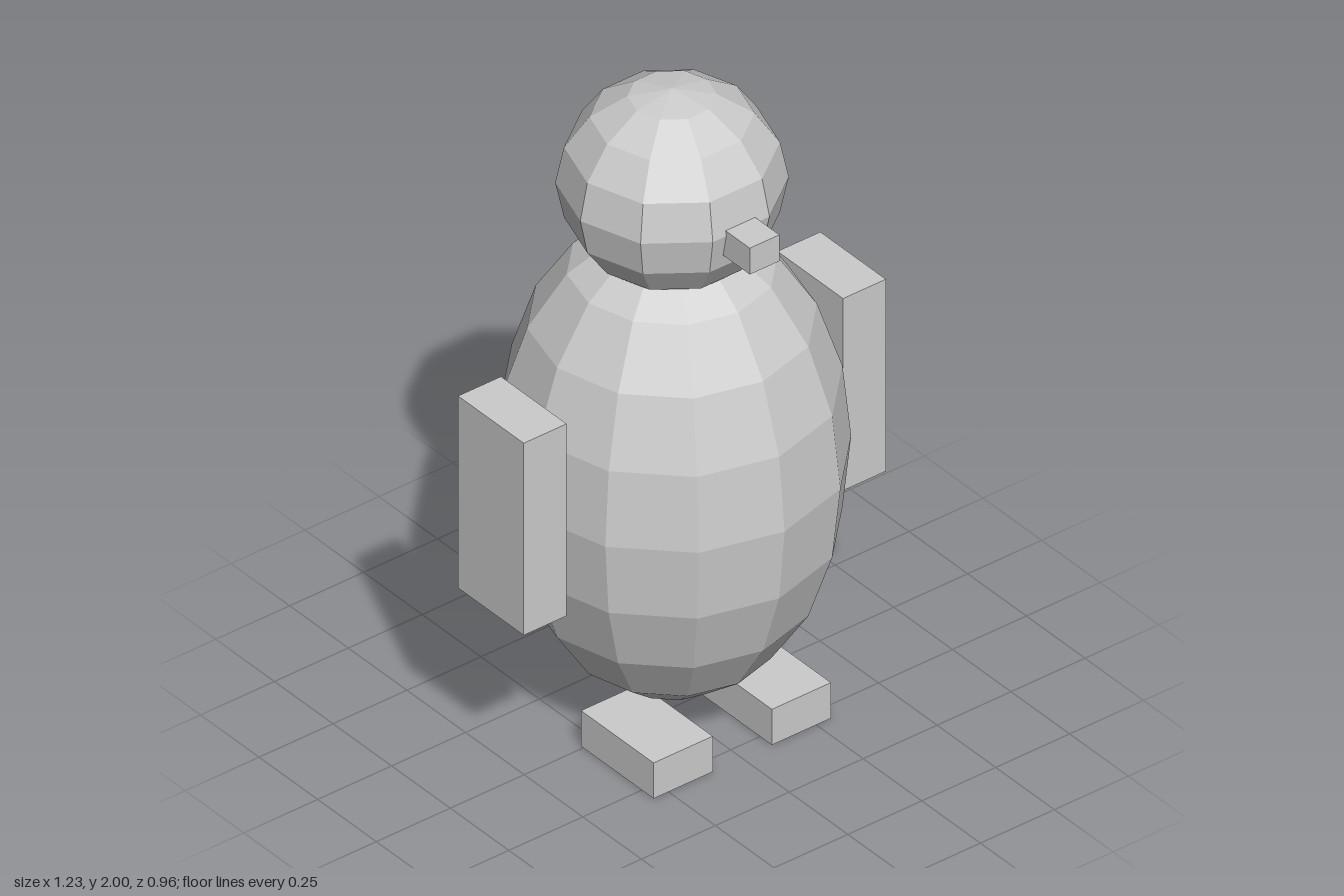
import * as THREE from 'three';

const material = new THREE.MeshStandardMaterial({ color: 0xcccccc, flatShading: true });

// Faceted ellipsoid centred on the vertical axis
function ellipsoid(name, radius, halfHeight, y, sides, rings) {
  const geometry = new THREE.SphereGeometry(radius, sides, rings);
  geometry.scale(1, halfHeight / radius, 1);
  const mesh = new THREE.Mesh(geometry, material);
  mesh.name = name;
  mesh.position.y = y;
  return mesh;
}

// Box given by its size and centre
function box(name, size, centre) {
  const mesh = new THREE.Mesh(new THREE.BoxGeometry(...size), material);
  mesh.name = name;
  mesh.position.set(...centre);
  return mesh;
}

export function createModel() {
  const model = new THREE.Group();
  model.name = 'penguin';

  // Egg-shaped body and round head
  model.add(ellipsoid('body', 0.48, 0.74, 0.83, 12, 10));
  model.add(ellipsoid('head', 0.31, 0.295, 1.705, 10, 8));

  // Beak, sunk into the head
  model.add(box('beak', [0.1, 0.085, 0.2], [0, 1.678, 0.295]));

  // Mirrored wings and feet
  for (const [side, s] of [['left', 1], ['right', -1]]) {
    model.add(box(side + 'Wing', [0.145, 0.62, 0.28], [s * 0.54, 0.885, 0]));
    model.add(box(side + 'Foot', [0.2, 0.115, 0.31], [s * 0.2, 0.0575, 0.145]));
  }
  return model;
}
